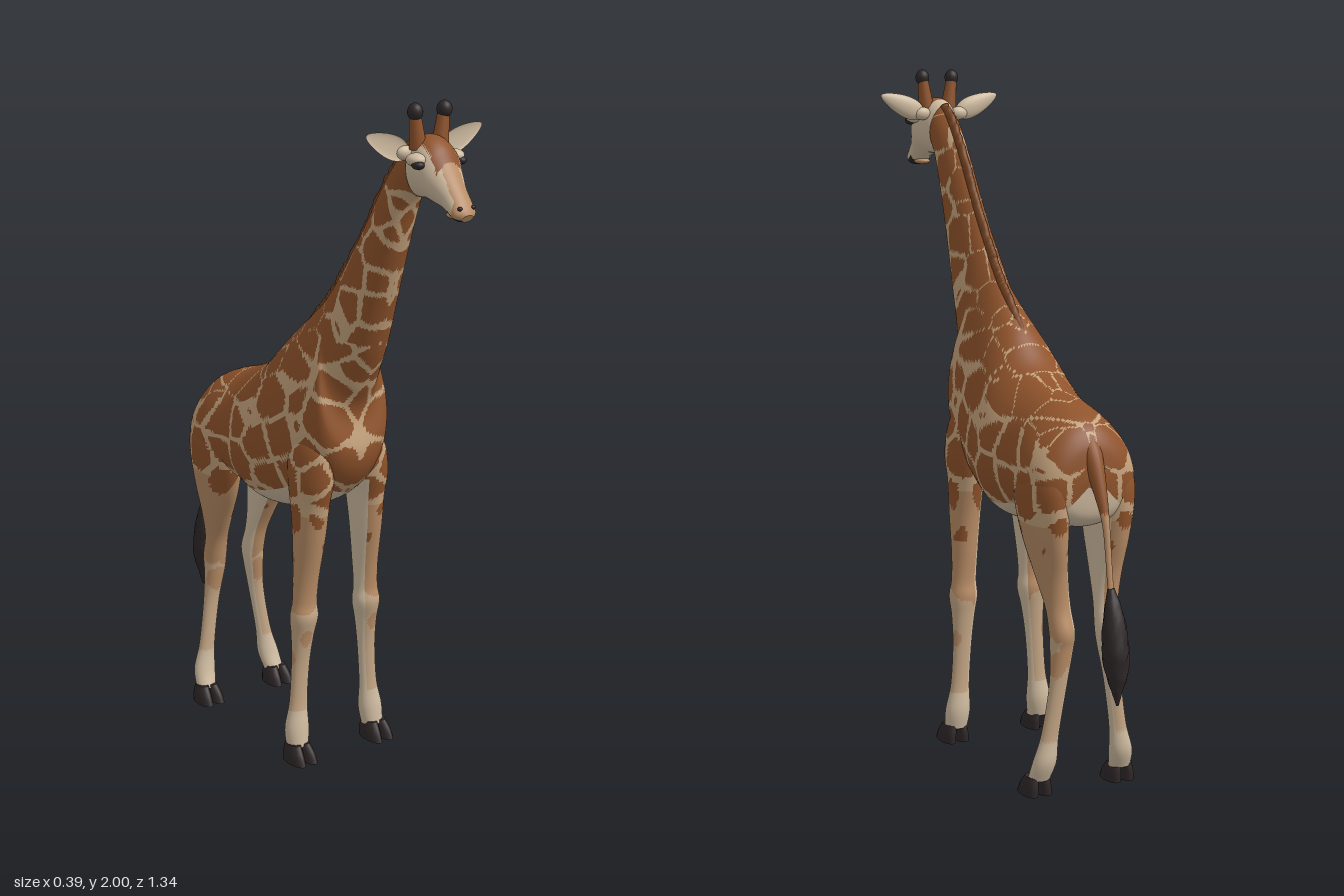
import * as THREE from 'three';

const mat = (name, color) => Object.assign(new THREE.MeshStandardMaterial({ color }), { name });
const M = {
  brown: mat('patch brown', 0x8f532b),
  line: mat('coat line', 0xc4a27c),
  tan: mat('leg tan', 0xb98d66),
  pale: mat('pale tan', 0xc4a685),
  cream: mat('cream', 0xcfbba0),
  mane: mat('mane brown', 0x74421f),
  dark: mat('dark horn', 0x2f2728),
};

const hash = (a, b, c, k) => {
  const s = Math.sin(a * 127.1 + b * 311.7 + c * 74.7 + k * 53.3) * 43758.5453;
  return s - Math.floor(s);
};

// Two nearest distances to jittered cell centres, mirrored in x
function cells(p, size) {
  const q = [Math.abs(p.x) / size, p.y / size, p.z / size];
  const b = q.map(Math.floor);
  let f1 = 9, f2 = 9;
  for (let i = -1; i < 2; i++) for (let j = -1; j < 2; j++) for (let k = -1; k < 2; k++) {
    const c = [b[0] + i, b[1] + j, b[2] + k];
    const d = Math.hypot(...c.map((v, n) => v + 0.1 + 0.8 * hash(...c, n + 1) - q[n]));
    if (d < f1) { f2 = f1; f1 = d; } else if (d < f2) f2 = d;
  }
  return [f1 * size, f2 * size];
}
const patch = (p, gap, size) => {
  const [a, b] = cells(p, size);
  return b - a > gap;
};

// Smooth interpolation through rows of numbers
function spline(rows, per) {
  const out = [], at = (i) => rows[Math.max(0, Math.min(rows.length - 1, i))];
  for (let s = 0; s < (rows.length - 1) * per + 1; s++) {
    const i = Math.floor(s / per), t = (s % per) / per;
    const [a, b, c, d] = [at(i - 1), at(i), at(i + 1), at(i + 2)];
    out.push(b.map((v, n) => v + 0.5 * t * (c[n] - a[n] +
      t * (2 * a[n] - 5 * v + 4 * c[n] - d[n] + t * (3 * (v - c[n]) + d[n] - a[n])))));
  }
  return out;
}

// Loft through rings [z1, y1, z2, y2, halfWidth, xCentre]; egg(f) narrows the first side of a ring,
// paint(p, t) picks each face's material
function loft(name, rows, { per = 8, sides = 32, egg = () => 0, lump = 0, paint }) {
  const rings = spline(rows.map((r) => [...r, 0].slice(0, 6)), per);
  const pos = [], byMat = new Map();
  rings.forEach(([z1, y1, z2, y2, w, x], i) => {
    const e = egg(i / (rings.length - 1));
    for (let j = 0; j < sides; j++) {
      const t = (j / sides) * Math.PI * 2, c = Math.cos(t);
      const k = 1 + lump * (hash(i, j, 3, 1) - 0.5);
      pos.push(x + k * w * Math.sin(t) * (1 - e * c),
        (y1 + y2) / 2 + k * c * (y1 - y2) / 2, (z1 + z2) / 2 + k * c * (z1 - z2) / 2);
    }
  });
  const point = (i) => new THREE.Vector3().fromArray(pos, i * 3);
  const tri = (a, b, c, t) => {
    const m = paint(point(a).add(point(b)).add(point(c)).divideScalar(3), t);
    if (!byMat.has(m)) byMat.set(m, []);
    byMat.get(m).push(a, b, c);
  };
  for (let i = 0; i < rings.length - 1; i++) for (let j = 0; j < sides; j++) {
    const a = i * sides + j, b = i * sides + (j + 1) % sides, t = ((j + 0.5) / sides) * Math.PI * 2;
    tri(a, a + sides, b, t);
    tri(b, a + sides, b + sides, t);
  }
  for (const end of [0, rings.length - 1]) {
    const [z1, y1, z2, y2, , x] = rings[end], base = pos.length / 3;
    pos.push(x, (y1 + y2) / 2, (z1 + z2) / 2, ...pos.slice(end * sides * 3, (end + 1) * sides * 3));
    for (let j = 0; j < sides; j++) {
      const a = base + 1 + j, b = base + 1 + (j + 1) % sides;
      if (end) tri(base, b, a, 0); else tri(base, a, b, 0);
    }
  }
  const g = new THREE.BufferGeometry(), index = [], mats = [...byMat.keys()];
  g.setAttribute('position', new THREE.Float32BufferAttribute(pos, 3));
  mats.forEach((m, n) => {
    const list = byMat.get(m);
    g.addGroup(index.length, list.length, n);
    for (const v of list) index.push(v);
  });
  g.setIndex(index);
  g.computeVertexNormals();
  const mesh = new THREE.Mesh(g, mats);
  mesh.name = name;
  return mesh;
}

function ball(name, m, [x, y, z], [sx, sy, sz]) {
  const mesh = new THREE.Mesh(new THREE.SphereGeometry(1, 20, 14), m);
  mesh.name = name;
  mesh.position.set(x, y, z);
  mesh.scale.set(sx, sy, sz);
  return mesh;
}

// Torso and neck in one sweep, from rump to nape
const BODY = [
  [-0.512, 0.92, -0.512, 0.88, 0.03], [-0.497, 1.0, -0.5, 0.8, 0.11], [-0.455, 1.055, -0.46, 0.765, 0.15],
  [-0.38, 1.09, -0.38, 0.755, 0.165], [-0.27, 1.125, -0.27, 0.75, 0.156], [-0.17, 1.175, -0.14, 0.725, 0.174],
  [-0.08, 1.265, -0.02, 0.745, 0.158], [0, 1.335, 0.1, 0.8, 0.138], [0.055, 1.385, 0.18, 0.87, 0.126],
  [0.085, 1.42, 0.214, 0.96, 0.112], [0.11, 1.45, 0.195, 1.08, 0.09], [0.14, 1.49, 0.235, 1.17, 0.077],
  [0.195, 1.565, 0.285, 1.27, 0.066], [0.255, 1.655, 0.335, 1.42, 0.058], [0.33, 1.77, 0.382, 1.57, 0.052],
  [0.4, 1.855, 0.425, 1.7, 0.049], [0.445, 1.89, 0.465, 1.76, 0.045], [0.48, 1.88, 0.49, 1.79, 0.02],
];
const bodyPaint = (p, t) => {
  const c = Math.cos(t);
  if (c < -0.72 && p.z < 0.14 && p.y < 0.9) return M.cream;
  return patch(p, c > 0.55 ? 0.003 : 0.013, p.y > 1.3 ? 0.098 : 0.115) ? M.brown : M.line;
};

const FRONT_LEG = [
  [0.14, 1.04, 0.03, 1.04, 0.03, 0.08], [0.18, 0.97, 0.01, 0.97, 0.053, 0.09], [0.185, 0.88, 0.02, 0.88, 0.058, 0.098],
  [0.17, 0.8, 0.03, 0.8, 0.05, 0.1], [0.155, 0.7, 0.045, 0.7, 0.045, 0.103], [0.132, 0.58, 0.053, 0.58, 0.039, 0.108],
  [0.123, 0.5, 0.057, 0.5, 0.038, 0.112], [0.13, 0.45, 0.05, 0.45, 0.043, 0.114], [0.117, 0.39, 0.055, 0.39, 0.035, 0.117],
  [0.105, 0.3, 0.06, 0.3, 0.029, 0.122], [0.104, 0.18, 0.06, 0.18, 0.029, 0.13], [0.116, 0.1, 0.052, 0.1, 0.038, 0.137],
  [0.122, 0.045, 0.06, 0.045, 0.034, 0.14],
];
const HIND_LEG = [
  [-0.35, 0.99, -0.45, 0.99, 0.03, 0.08], [-0.29, 0.91, -0.493, 0.91, 0.06, 0.1], [-0.275, 0.83, -0.505, 0.83, 0.062, 0.103],
  [-0.305, 0.72, -0.495, 0.72, 0.052, 0.096], [-0.36, 0.62, -0.474, 0.62, 0.043, 0.085], [-0.4, 0.54, -0.472, 0.54, 0.036, 0.076],
  [-0.416, 0.47, -0.492, 0.47, 0.036, 0.072], [-0.424, 0.42, -0.486, 0.42, 0.033, 0.074], [-0.437, 0.32, -0.479, 0.32, 0.026, 0.086],
  [-0.433, 0.18, -0.473, 0.18, 0.026, 0.108], [-0.42, 0.1, -0.475, 0.1, 0.035, 0.122], [-0.4, 0.045, -0.455, 0.045, 0.032, 0.13],
];

function leg(name, rows, s, toe, heel, hx, tanTo) {
  const g = new THREE.Group();
  g.name = name;
  g.add(loft('limb', rows.map((r) => [...r.slice(0, 5), r[5] * s]), {
    sides: 40,
    paint: (p, t) => {
      if (p.y < 0.86 && Math.sin(t) * s < -0.55) return M.cream;
      // Patches shrink down the limb, then tan breaks up into pale tan and cream
      if (p.y > 0.62) {
        if (patch(p, 0.013 + Math.max(0, 0.86 - p.y) * 0.17, 0.115)) return M.brown;
        return p.y > 0.78 ? M.line : M.tan;
      }
      if (p.y < 0.16) return M.cream;
      return cells(p, 0.09)[0] < 0.045 + (p.y - tanTo) * 0.2 ? M.tan : M.pale;
    },
  }));
  // Cloven hoof
  for (const d of [-1, 1]) {
    g.add(loft('hoof', [
      [toe - 0.035, 0.055, heel + 0.005, 0.055, 0.017, hx * s + d * 0.016],
      [toe - 0.014, 0.028, heel, 0.028, 0.021, hx * s + d * 0.02],
      [toe, 0, heel, 0, 0.022, hx * s + d * 0.021],
    ], { per: 4, sides: 20, paint: () => M.dark }));
  }
  return g;
}

function makeHead() {
  const head = new THREE.Group();
  head.name = 'head';
  head.add(loft('skull', [
    [0.43, 1.87, 0.45, 1.76, 0.03], [0.465, 1.905, 0.47, 1.745, 0.052], [0.515, 1.915, 0.505, 1.745, 0.066],
    [0.558, 1.89, 0.53, 1.745, 0.067], [0.588, 1.845, 0.56, 1.737, 0.055], [0.618, 1.8, 0.585, 1.73, 0.043],
    [0.645, 1.765, 0.607, 1.72, 0.039], [0.661, 1.74, 0.637, 1.706, 0.036], [0.668, 1.725, 0.655, 1.705, 0.018],
  ], {
    sides: 40,
    paint: (p, t) => {
      const c = Math.cos(t);
      if (p.z > 0.62 && c < -0.3) return M.dark;
      if (p.z > 0.64) return M.tan;
      if (p.z < 0.475 || c < 0.3) return M.cream;
      // Brown forehead running into a tan nose bridge
      if (p.z < 0.585) return Math.abs(p.x) < 0.043 ? M.brown : M.cream;
      return Math.abs(p.x) < 0.028 ? M.tan : M.cream;
    },
  }));
  head.add(ball('lowerLip', M.tan, [0, 1.717, 0.615], [0.024, 0.01, 0.03]));
  for (const s of [-1, 1]) {
    head.add(ball('brow', M.cream, [s * 0.063, 1.856, 0.525], [0.028, 0.018, 0.03]));
    head.add(ball('eye', M.dark, [s * 0.071, 1.845, 0.542], [0.017, 0.012, 0.019]));
    head.add(ball('nostril', M.dark, [s * 0.022, 1.742, 0.656], [0.007, 0.006, 0.006]));
    // Horn with a dark knob
    const horn = new THREE.Mesh(new THREE.CylinderGeometry(0.015, 0.024, 0.1, 16), M.brown);
    horn.name = 'horn';
    horn.position.set(s * 0.043, 1.93, 0.498);
    horn.rotation.z = -s * 0.13;
    head.add(horn, ball('hornKnob', M.dark, [s * 0.049, 1.976, 0.5], [0.021, 0.024, 0.021]));
    // Cupped, pointed ear, narrow at its root
    const geo = new THREE.SphereGeometry(1, 28, 20), a = geo.attributes.position;
    for (let i = 0; i < a.count; i++) {
      const x = a.getX(i) * s, f = 1 - 0.35 * x, z = a.getZ(i);
      a.setXYZ(i, a.getX(i) * 0.076, a.getY(i) * 0.031 * f, (z > 0 ? -0.35 * z : z) * 0.018 * f);
    }
    geo.computeVertexNormals();
    const ear = new THREE.Mesh(geo, M.cream);
    ear.name = 'ear';
    ear.position.set(s * 0.125, 1.894, 0.482);
    ear.rotation.z = s * 0.4;
    head.add(ear, ball('earRoot', M.cream, [s * 0.062, 1.868, 0.475], [0.028, 0.02, 0.018]));
  }
  return head;
}

export function createModel() {
  const model = new THREE.Group();
  model.name = 'giraffe';
  // The withers and neck base are pinched above a fuller chest
  const egg = (f) => 0.13 + 0.25 * Math.exp(-(((f - 0.52) / 0.12) ** 2));
  model.add(loft('bodyAndNeck', BODY, { per: 13, sides: 100, egg, paint: bodyPaint }), makeHead());

  // Ragged mane along the back of the neck
  const crest = spline(BODY.slice(6, 17).map((r) => r.slice(0, 2)), 8);
  model.add(loft('mane', crest.map(([z, y], i) => {
    const h = (0.01 + 0.008 * hash(i, 1, 2, 3)) * Math.min(1, i / 12);
    return [z - 0.8 * h, y + 0.6 * h, z + 0.02, y - 0.015, 0.014];
  }), { per: 2, sides: 14, paint: () => M.mane }));

  for (const s of [-1, 1]) {
    const side = s > 0 ? 'Left' : 'Right';
    model.add(leg('front' + side + 'Leg', FRONT_LEG, s, 0.162, 0.058, 0.143, 0.42));
    model.add(leg('hind' + side + 'Leg', HIND_LEG, s, -0.36, -0.455, 0.133, 0.34));
  }

  // Tail and its tuft
  model.add(loft('tail', [
    [-0.46, 0.96, -0.46, 1.045, 0.035], [-0.485, 0.92, -0.512, 0.985, 0.028], [-0.522, 0.86, -0.548, 0.9, 0.019],
    [-0.558, 0.79, -0.577, 0.8, 0.011], [-0.576, 0.7, -0.592, 0.7, 0.009], [-0.592, 0.6, -0.606, 0.6, 0.009],
  ], { sides: 20, paint: (p) => (p.y > 0.82 ? M.brown : M.tan) }));
  model.add(loft('tailTuft', [
    [-0.59, 0.62, -0.608, 0.62, 0.01], [-0.587, 0.56, -0.637, 0.56, 0.026], [-0.585, 0.47, -0.664, 0.47, 0.037],
    [-0.6, 0.4, -0.665, 0.4, 0.032], [-0.62, 0.34, -0.652, 0.34, 0.015], [-0.636, 0.3, -0.642, 0.3, 0.003],
  ], { per: 5, sides: 20, lump: 0.16, paint: () => M.dark }));
  return model;
}
